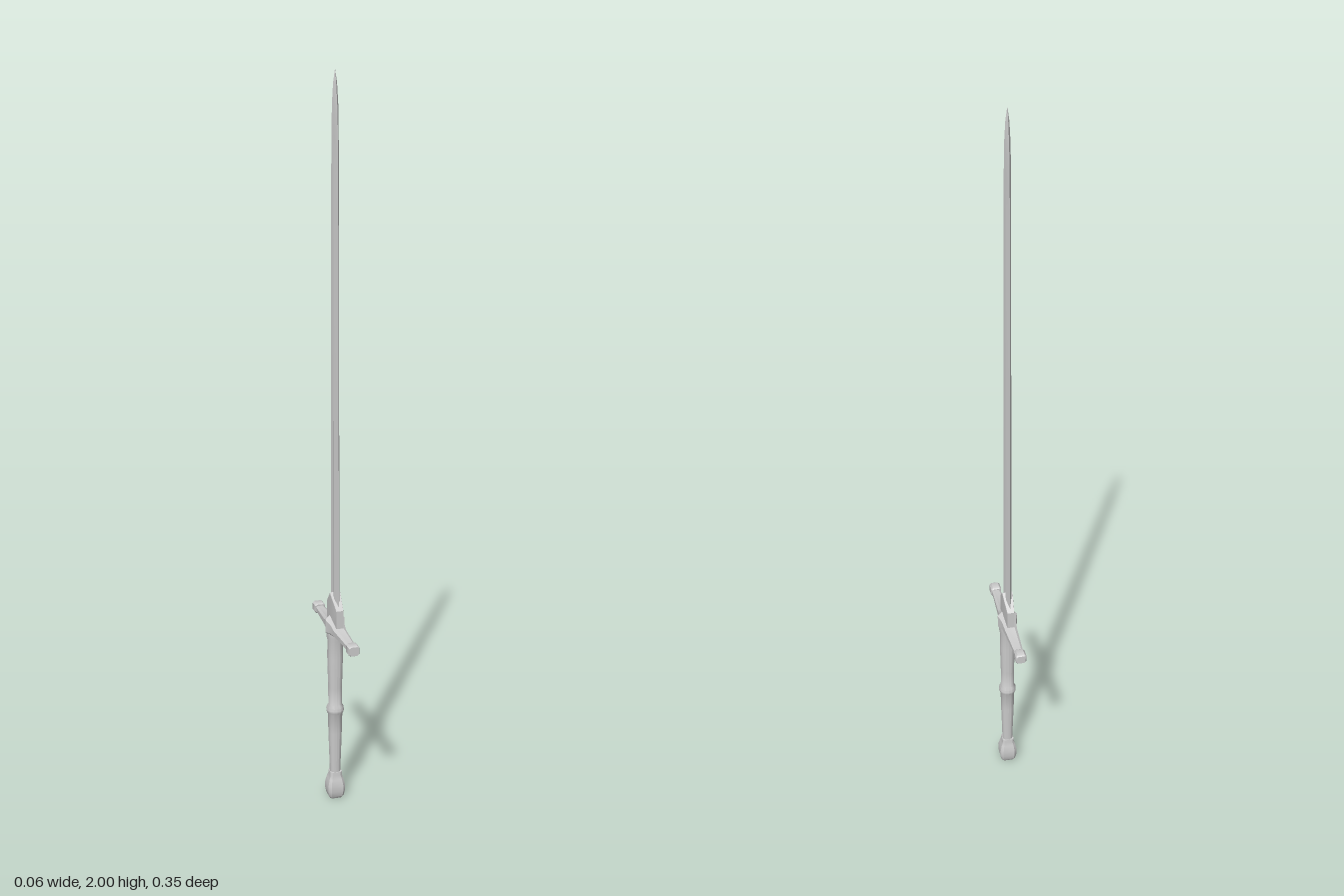
import * as THREE from 'three';
import { toCreasedNormals } from 'three/addons/utils/BufferGeometryUtils.js';

const material = new THREE.MeshStandardMaterial({ color: 0xcccccc });

// Skin a list of { h, pts: [[x, z], ...] } sections stacked along y, with capped ends.
function loft(sections, crease = 0.6) {
  const pos = [];
  const n = sections[0].pts.length;
  const at = (s, i) => [s.pts[i % n][0], s.h, s.pts[i % n][1]];
  const middle = (s) => [0, s.h, s.pts.reduce((sum, p) => sum + p[1], 0) / n];
  for (let k = 0; k < sections.length - 1; k++) {
    const a = sections[k], b = sections[k + 1];
    for (let i = 0; i < n; i++) {
      pos.push(...at(a, i), ...at(b, i), ...at(b, i + 1));
      pos.push(...at(a, i), ...at(b, i + 1), ...at(a, i + 1));
    }
  }
  const first = sections[0], last = sections[sections.length - 1];
  for (let i = 0; i < n; i++) {
    pos.push(...middle(first), ...at(first, i), ...at(first, i + 1));
    pos.push(...middle(last), ...at(last, i + 1), ...at(last, i));
  }
  const g = new THREE.BufferGeometry();
  g.setAttribute('position', new THREE.Float32BufferAttribute(pos, 3));
  return toCreasedNormals(g, crease);
}

// Rectangle with cut corners; c is the share of each half side that is cut away.
function chamfered(hx, hz, c, offset = 0) {
  const k = 1 - c;
  return [[1, -k], [1, k], [k, 1], [-k, 1], [-1, k], [-1, -k], [-k, -1], [k, -1]]
    .map(([x, z]) => [x * hx, z * hz + offset]);
}

// Bar running along z from [z, half width in x, bottom y, top y] rows.
function bar(rows, c, crease) {
  const sections = rows.map(([z, hx, y0, y1]) => ({
    h: z, pts: chamfered(hx, (y1 - y0) / 2, c, -(y0 + y1) / 2),
  }));
  return loft(sections, crease).rotateX(Math.PI / 2);
}

// Complete a bar given from its centre outwards by mirroring it in z.
const mirrored = (rows) => [
  ...rows.filter((r) => r[0] > 0).reverse().map(([z, ...rest]) => [-z, ...rest]),
  ...rows,
];

export function createModel() {
  const sword = new THREE.Group();
  sword.name = 'sword';
  const add = (name, geometry) => {
    const mesh = new THREE.Mesh(geometry, material);
    mesh.name = name;
    sword.add(mesh);
  };

  // Blade: two sharp edges with a hollow groove on both faces
  const blade = [
    [0.53, 0.037, 0.008], [1.2, 0.031, 0.0075], [1.75, 0.026, 0.007],
    [1.85, 0.024, 0.0065], [1.92, 0.018, 0.006], [1.97, 0.009, 0.004], [2.0, 0.0005, 0.0005],
  ].map(([h, w, t]) => {
    const f = w * 0.4, d = t * 0.6;
    return { h, pts: [[d, 0], [t, f], [0, w], [-t, f], [-d, 0], [-t, -f], [0, -w], [t, -f]] };
  });
  add('blade', loft(blade, 0.4));

  // Collar: pointed sleeve around the blade root
  add('bladeCollar', bar(mirrored([
    [0, 0.015, 0.52, 0.622], [0.045, 0.01, 0.52, 0.582],
  ]), 0.05, 0.3));

  // Crossguard: ridged centre block with tapering arms
  add('crossguard', bar(mirrored([
    [0, 0.028, 0.495, 0.555], [0.022, 0.02, 0.501, 0.543],
    [0.045, 0.0175, 0.505, 0.531], [0.146, 0.012, 0.509, 0.526],
  ]), 0.4, 0.5));

  // Knobs at the ends of the arms
  for (const side of [-1, 1]) {
    const knob = bar([
      [-0.016, 0.012, 0.506, 0.529], [-0.012, 0.015, 0.503, 0.532],
      [0.012, 0.015, 0.503, 0.532], [0.016, 0.013, 0.505, 0.53],
    ], 0.35, 0.7);
    knob.translate(0, 0, side * 0.158);
    add(side > 0 ? 'frontGuardKnob' : 'backGuardKnob', knob);
  }

  // Grip: turned handle with a raised ring at mid length
  const grip = [
    [0, 0.07], [0.015, 0.07], [0.016, 0.11], [0.019, 0.2], [0.0205, 0.258], [0.024, 0.265],
    [0.025, 0.272], [0.024, 0.279], [0.019, 0.288], [0.0195, 0.34], [0.022, 0.43],
    [0.0215, 0.48], [0.024, 0.492], [0.024, 0.506], [0, 0.506],
  ].map(([r, y]) => new THREE.Vector2(r, y));
  add('grip', toCreasedNormals(new THREE.LatheGeometry(grip, 16), 0.7));

  // Pommel: squarish knob, widest below its middle
  const pommel = [
    [0, 0.018], [0.006, 0.0215], [0.022, 0.0245], [0.04, 0.0245],
    [0.058, 0.0205], [0.07, 0.0165], [0.08, 0.0165],
  ].map(([h, r]) => ({ h, pts: chamfered(r, r, 0.3) }));
  add('pommel', loft(pommel, 0.7));

  return sword;
}
